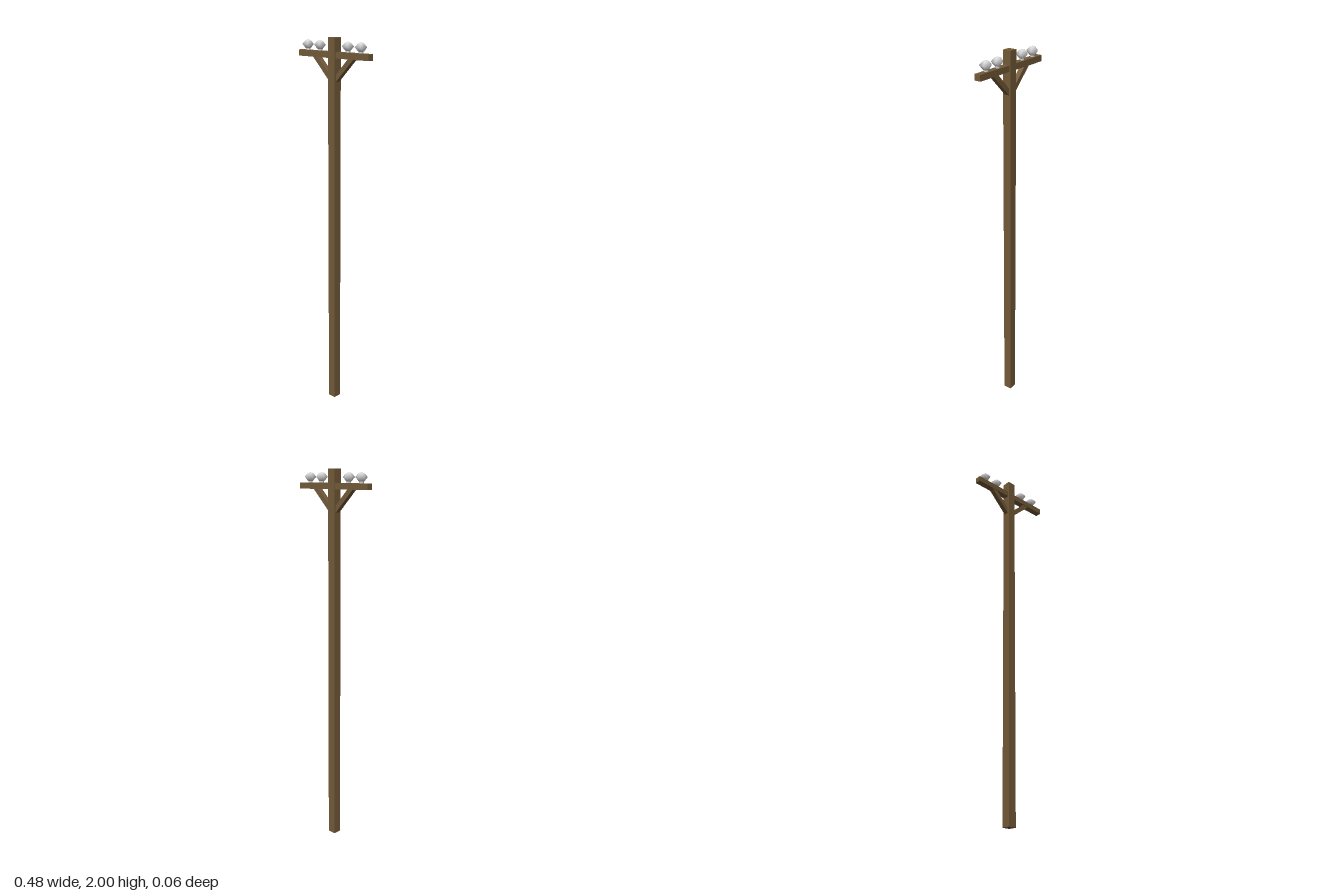
import * as THREE from 'three';

export function createModel() {
  const model = new THREE.Group();
  const wood = new THREE.MeshStandardMaterial({ color: 0x735a38 });
  wood.name = 'brown wood';
  const ceramic = new THREE.MeshStandardMaterial({ color: 0xd8d8d8 });
  ceramic.name = 'pale ceramic';
  const Z = 0.0015; // shared centre line of all parts

  const add = (name, geometry, material, x, y) => {
    const mesh = new THREE.Mesh(geometry, material);
    mesh.name = name;
    mesh.position.set(x, y, Z);
    model.add(mesh);
    return mesh;
  };

  // Square pole and the crossarm running through it
  add('pole', new THREE.BoxGeometry(0.045, 2, 0.045), wood, 0, 1);
  add('crossarm', new THREE.BoxGeometry(0.482, 0.031, 0.033), wood, 0, 1.916);

  // Diagonal braces, cut level under the crossarm and plumb inside the pole
  for (const [name, s] of [['leftBrace', 1], ['rightBrace', -1]]) {
    const outline = new THREE.Shape([
      [0.014, 1.778], [0.141, 1.902], [0.104, 1.902], [0.014, 1.813],
    ].map(([x, y]) => new THREE.Vector2(s * x, y)));
    const brace = new THREE.ExtrudeGeometry(outline, { depth: 0.026, bevelEnabled: false });
    brace.translate(0, 0, -0.013);
    add(name, brace, wood, 0, 0);
  }

  // Five-sided insulators on short stems
  const bell = new THREE.LatheGeometry([
    [0, 1.934], [0.015, 1.941], [0.0315, 1.961], [0.017, 1.978], [0, 1.985],
  ].map(([x, y]) => new THREE.Vector2(x, y)), 5, Math.PI);
  const stem = new THREE.CylinderGeometry(0.012, 0.012, 0.016, 5, 1, false, Math.PI);
  [-0.186, -0.1, 0.093, 0.179].forEach((x, i) => {
    add('insulator' + (i + 1), bell, ceramic, x, 0);
    add('insulatorStem' + (i + 1), stem, ceramic, x, 1.937);
  });

  return model;
}
